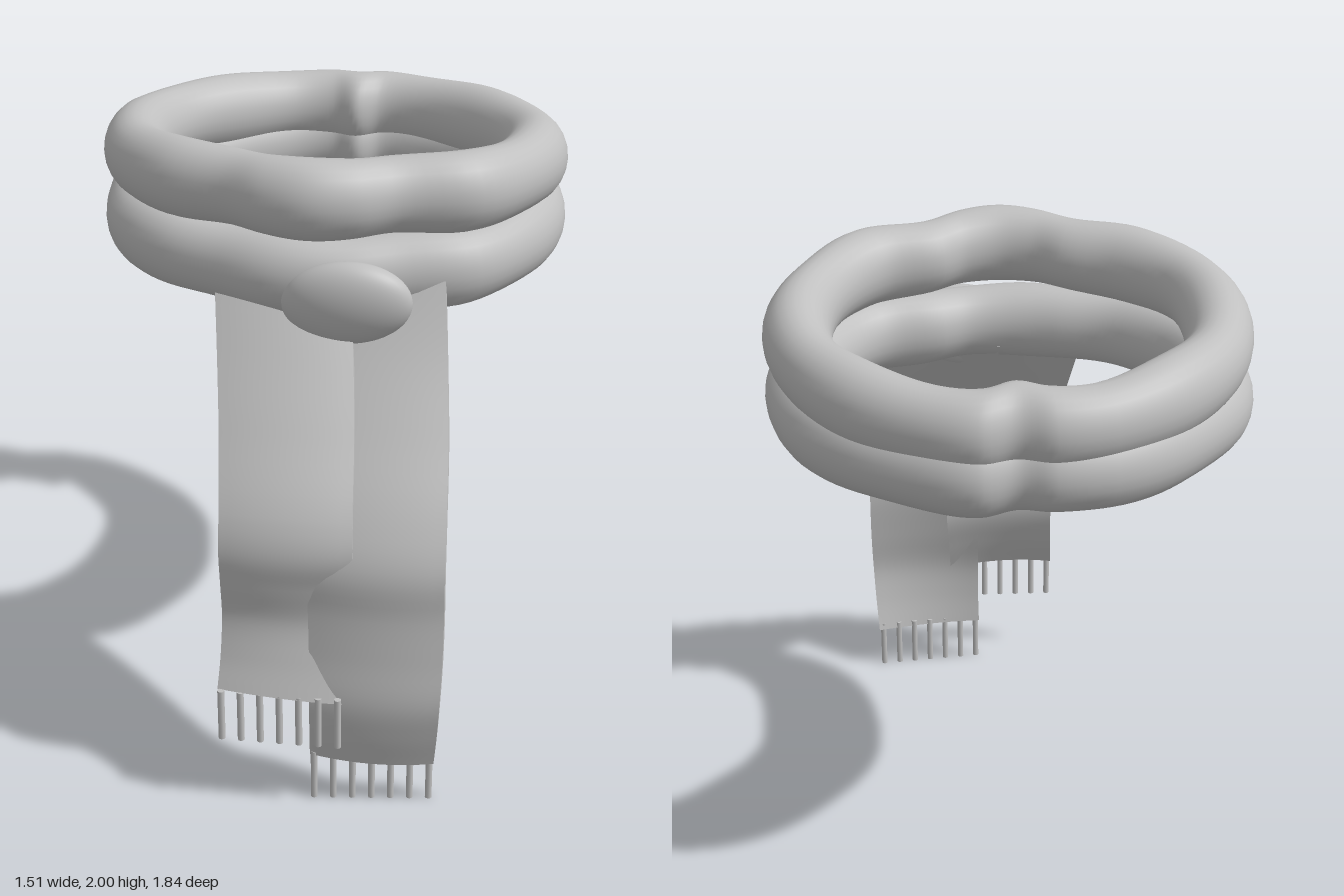
import * as THREE from 'three';
import { mergeVertices } from 'three/addons/utils/BufferGeometryUtils.js';

const CENTRE_Z = -0.19;
const V = (p) => new THREE.Vector3(...p);

// Centreline of a loop: [degrees from the front towards +x, radius]
const UPPER = [
  [0, 0.61], [12, 0.595], [25, 0.56], [45, 0.62], [67, 0.63], [90, 0.64], [112, 0.64], [135, 0.63],
  [157, 0.63], [171, 0.63], [180, 0.585], [189, 0.62], [203, 0.635], [225, 0.635], [248, 0.655],
  [270, 0.65], [293, 0.645], [315, 0.605], [335, 0.565], [348, 0.595],
];
const LOWER = UPPER.map(([a, r]) => [a, a < 20 || a > 340 ? 0.57 : r + 0.006]);

// Soft, lumpy closed loop of fabric
function loopGeometry(table, height, lumpPhase) {
  const path = new THREE.CatmullRomCurve3(table.map(([deg, r]) => {
    const a = THREE.MathUtils.degToRad(deg);
    const z = CENTRE_Z + r * Math.cos(a);
    return new THREE.Vector3(r * Math.sin(a), height(z), z);
  }), true);
  const geo = new THREE.PlaneGeometry(1, 1, 120, 24);
  const pos = geo.attributes.position;
  for (let i = 0; i < pos.count; i++) {
    const u = pos.getX(i) + 0.5;
    const phi = pos.getY(i) * Math.PI * 2;
    const c = path.getPoint(u % 1);
    const a = Math.atan2(c.x, c.z - CENTRE_Z);
    const lump = 1 + 0.035 * Math.cos(8 * a + lumpPhase);
    const out = 0.104 * lump * Math.cos(phi);
    pos.setXYZ(i, c.x + Math.sin(a) * out, c.y + 0.122 * lump * Math.sin(phi), c.z + Math.cos(a) * out);
  }
  geo.deleteAttribute('uv');
  geo.deleteAttribute('normal');
  const welded = mergeVertices(geo, 1e-4);
  welded.computeVertexNormals();
  return welded;
}

// Hanging strip between two edge curves, slightly crowned across its width
function tailGeometry(leftPts, rightPts, thickness, crown) {
  const left = new THREE.CatmullRomCurve3(leftPts.map(V));
  const right = new THREE.CatmullRomCurve3(rightPts.map(V));
  const geo = new THREE.BoxGeometry(1, 1, 1, 12, 48, 1);
  const pos = geo.attributes.position;
  for (let i = 0; i < pos.count; i++) {
    const u = pos.getX(i) + 0.5;
    const t = THREE.MathUtils.clamp(0.5 - pos.getY(i), 0, 1);
    const p = left.getPoint(t).lerp(right.getPoint(t), u);
    const d = left.getTangent(t).lerp(right.getTangent(t), u);
    const n = new THREE.Vector3(0, d.z, -d.y).normalize();
    const bulge = crown * (1 - (2 * u - 1) ** 2);
    p.addScaledVector(n, pos.getZ(i) * thickness + bulge - crown / 2);
    pos.setXYZ(i, p.x, p.y, p.z);
  }
  geo.computeVertexNormals();
  return geo;
}

export function createModel() {
  const model = new THREE.Group();
  const wool = new THREE.MeshStandardMaterial({ color: 0xc0c0c0 });
  wool.name = 'grey wool';

  const add = (name, geometry, parent = model) => {
    const mesh = new THREE.Mesh(geometry, wool);
    mesh.name = name;
    parent.add(mesh);
    return mesh;
  };

  // Two wraps around the neck, the upper one sinking towards the back
  add('upperLoop', loopGeometry(UPPER, (z) => 1.83 + 0.1 * z, 0));
  add('lowerLoop', loopGeometry(LOWER, () => 1.615, 1.5));

  // Knot
  const knot = add('knot', new THREE.SphereGeometry(1, 40, 28));
  knot.scale.set(0.2, 0.138, 0.08);
  knot.position.set(0.12, 1.565, 0.468);
  knot.rotation.set(0.15, 0, 0.08);

  // Short tail, ending higher
  const shortLeft = [
    [-0.29, 1.55, 0.42], [-0.265, 1.38, 0.54], [-0.24, 1.2, 0.67], [-0.22, 1.0, 0.805], [-0.217, 0.89, 0.84],
    [-0.215, 0.78, 0.835], [-0.215, 0.65, 0.82], [-0.217, 0.52, 0.85], [-0.222, 0.42, 0.89],
  ];
  const shortRight = [
    [0.14, 1.47, 0.475], [0.155, 1.36, 0.555], [0.172, 1.2, 0.67], [0.185, 1.0, 0.805], [0.19, 0.89, 0.84],
    [0.185, 0.78, 0.825], [0.18, 0.65, 0.815], [0.172, 0.52, 0.85], [0.168, 0.4, 0.89],
  ];
  add('shortTail', tailGeometry(shortLeft, shortRight, 0.04, 0.02));

  // Long tail
  const longLeft = [
    [0, 1.57, 0.31], [0.01, 1.4, 0.46], [0.025, 1.2, 0.62], [0.04, 1.0, 0.765], [0.05, 0.85, 0.835],
    [0.055, 0.7, 0.84], [0.06, 0.55, 0.855], [0.062, 0.4, 0.875], [0.062, 0.28, 0.865], [0.06, 0.17, 0.845],
  ];
  const longRight = [
    [0.41, 1.61, 0.375], [0.432, 1.4, 0.5], [0.452, 1.2, 0.635], [0.463, 1.0, 0.77], [0.468, 0.85, 0.835],
    [0.47, 0.7, 0.84], [0.47, 0.55, 0.855], [0.466, 0.4, 0.87], [0.46, 0.28, 0.85], [0.45, 0.15, 0.815],
  ];
  add('longTail', tailGeometry(longLeft, longRight, 0.04, 0.02));

  // Seven tassels on each tail end
  const fringe = (name, from, to) => {
    const group = new THREE.Group();
    group.name = name;
    const strand = new THREE.CylinderGeometry(0.011, 0.011, 0.18, 10);
    for (let i = 0; i < 7; i++) {
      add('tassel', strand, group).position.lerpVectors(V(from), V(to), i / 6);
    }
    model.add(group);
  };
  fringe('shortTailFringe', [-0.21, 0.335, 0.908], [0.155, 0.335, 0.905]);
  fringe('longTailFringe', [0.073, 0.09, 0.85], [0.435, 0.09, 0.805]);

  return model;
}
